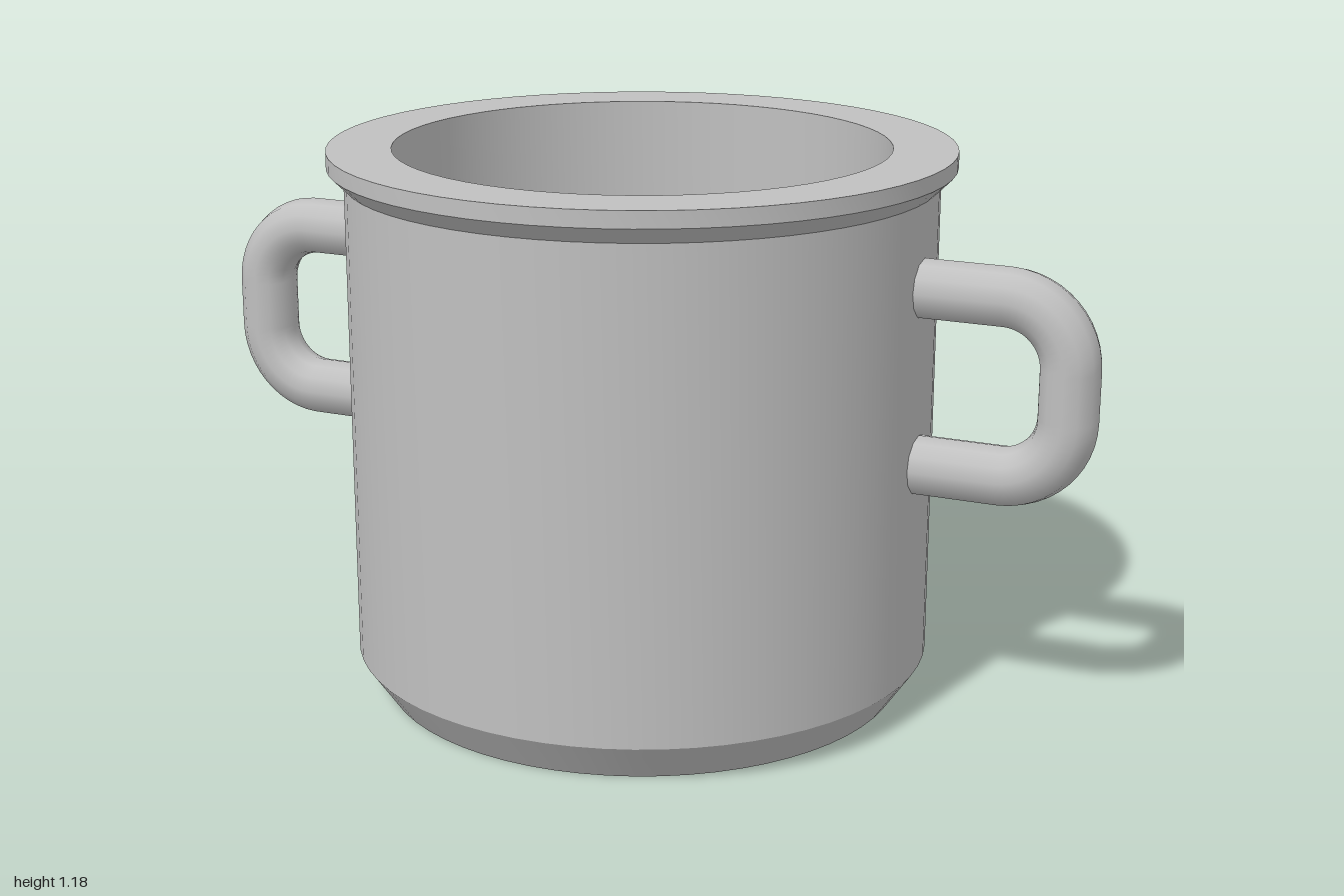
import * as THREE from 'three';
import { toCreasedNormals } from 'three/addons/utils/BufferGeometryUtils.js';

const metal = new THREE.MeshStandardMaterial({ color: 0xc0c0c0 });
metal.name = 'grey metal';

// Thick-walled pot: chamfered base, straight wall, flared rim, hollow inside
function createPot() {
  const profile = [
    [0, 0], [0.567, 0], [0.626, 0.086], [0.626, 1.115], [0.661, 1.15],
    [0.661, 1.185], [0.525, 1.185], [0.525, 0.09], [0, 0.09],
  ].map(([r, y]) => new THREE.Vector2(r, y));
  const geometry = toCreasedNormals(new THREE.LatheGeometry(profile, 64), 0.4);
  const pot = new THREE.Mesh(geometry, metal);
  pot.name = 'pot';
  return pot;
}

// Side handle: a round bar bent into a square loop with rounded corners
function createHandle(name) {
  const inner = 0.58, outer = 0.937, top = 0.937, bottom = 0.561, r = 0.135;
  const k = r * 0.448; // control offset for a quarter circle
  const p = (x, y) => new THREE.Vector3(x, y, 0);
  const path = new THREE.CurvePath();
  path.add(new THREE.LineCurve3(p(inner, top), p(outer - r, top)));
  path.add(new THREE.CubicBezierCurve3(
    p(outer - r, top), p(outer - k, top), p(outer, top - k), p(outer, top - r)));
  path.add(new THREE.LineCurve3(p(outer, top - r), p(outer, bottom + r)));
  path.add(new THREE.CubicBezierCurve3(
    p(outer, bottom + r), p(outer, bottom + k), p(outer - k, bottom), p(outer - r, bottom)));
  path.add(new THREE.LineCurve3(p(outer - r, bottom), p(inner, bottom)));
  const handle = new THREE.Mesh(new THREE.TubeGeometry(path, 56, 0.063, 12), metal);
  handle.name = name;
  return handle;
}

export function createModel() {
  const model = new THREE.Group();
  model.name = 'cookingPot';
  const leftHandle = createHandle('leftHandle');
  const rightHandle = createHandle('rightHandle');
  rightHandle.rotation.y = Math.PI;
  model.add(createPot(), leftHandle, rightHandle);
  return model;
}
